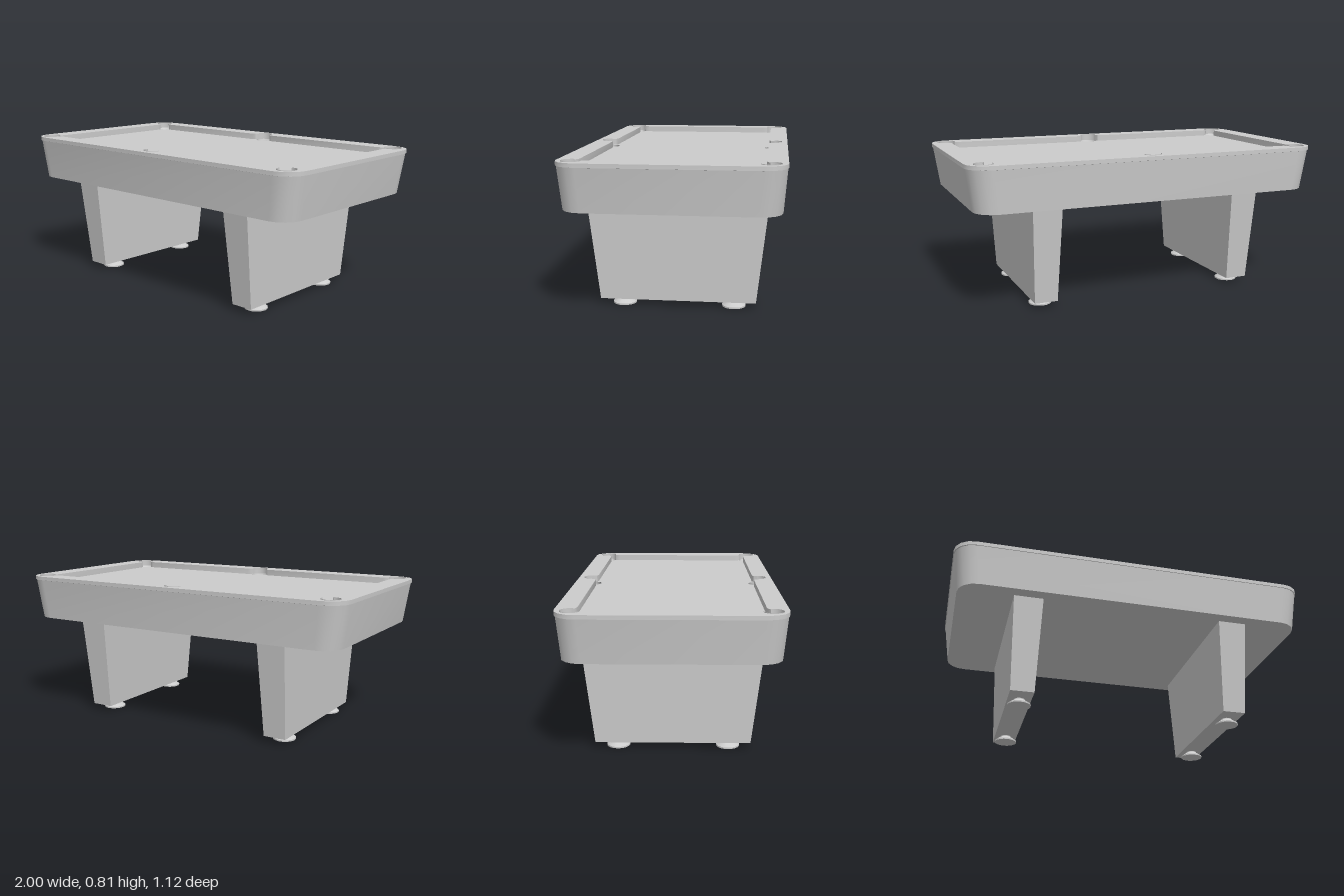
import * as THREE from 'three';
import { toCreasedNormals } from 'three/addons/utils/BufferGeometryUtils.js';

const TOP = 0.805, BED = 0.77, BASE = 0.56;
const R = 0.05, POCKET_X = 0.91, POCKET_Z = 0.48;
const grey = new THREE.MeshStandardMaterial({ color: 0xcccccc });
const greyDouble = new THREE.MeshStandardMaterial({ color: 0xcccccc, side: THREE.DoubleSide });

function add(parent, name, geometry, material = grey) {
  const mesh = new THREE.Mesh(geometry, material);
  mesh.name = name;
  parent.add(mesh);
  return mesh;
}

// Points along a circle arc, angles in degrees
function arc(cx, cy, r, from, to, n) {
  return Array.from({ length: n + 1 }, (_, i) => {
    const a = THREE.MathUtils.degToRad(from + (to - from) * i / n);
    return new THREE.Vector2(cx + r * Math.cos(a), cy + r * Math.sin(a));
  });
}

// Counter-clockwise rounded rectangle
function roundedRect(hx, hy, r) {
  return [[1, 1, 0], [-1, 1, 90], [-1, -1, 180], [1, -1, 270]].flatMap(([sx, sy, a]) =>
    arc(sx * (hx - r), sy * (hy - r), r, a, a + 90, 4));
}

// Walls between stacked outlines; each section is { ring, y }
function loft(sections) {
  const n = sections[0].ring.length, pos = [], index = [];
  for (const { ring, y } of sections) for (const p of ring) pos.push(p.x, y, -p.y);
  for (let s = 0; s < sections.length - 1; s++) {
    for (let i = 0; i < n; i++) {
      const a = s * n + i, b = s * n + (i + 1) % n;
      index.push(a, b, b + n, a, b + n, a + n);
    }
  }
  const g = new THREE.BufferGeometry();
  g.setAttribute('position', new THREE.Float32BufferAttribute(pos, 3));
  g.setIndex(index);
  return toCreasedNormals(g, 0.7);
}

// Horizontal face at height y
function plate(ring, y, hole, down = false) {
  const shape = new THREE.Shape(ring);
  if (hole) shape.holes.push(new THREE.Path(hole));
  return new THREE.ShapeGeometry(shape).rotateX(down ? Math.PI / 2 : -Math.PI / 2).translate(0, y, 0);
}

// Clockwise outline of the playing area: round the pockets' far side (rail)
// or their near side (bed), mirrored from one quarter
function playOutline(nearSide) {
  const quarter = [
    ...arc(0, POCKET_Z, R, nearSide ? -82 : 82, 5, 7),
    new THREE.Vector2(0.057, 0.463), new THREE.Vector2(0.075, 0.455),
    new THREE.Vector2(0.83, 0.455), new THREE.Vector2(0.848, 0.461),
    ...arc(POCKET_X, POCKET_Z, R, 190, nearSide ? 260 : -100, nearSide ? 8 : 20),
    new THREE.Vector2(0.893, 0.418), new THREE.Vector2(0.89, 0.4),
  ];
  const flip = (sx, sy) => quarter.map(p => new THREE.Vector2(p.x * sx, p.y * sy));
  return [...quarter, ...flip(1, -1).reverse(), ...flip(-1, -1), ...flip(-1, 1).reverse()];
}

// Pocket: a raised rim on the rail side and a cup slanting in under the bed
function makePocket(sx, sz) {
  const pocket = new THREE.Group();
  pocket.name = 'pocket';
  pocket.position.set(sx * POCKET_X, 0, sz * POCKET_Z);
  const facing = Math.atan2(sx, sz);
  const span = THREE.MathUtils.degToRad(sx ? 290 : 170);
  const h = 0.808 - BED;
  add(pocket, 'pocketRim', new THREE.CylinderGeometry(0.0495, 0.0495, h, 24, 1, true, facing - span / 2, span)
    .translate(0, BED + h / 2, 0), greyDouble);

  const depth = 0.1, shift = sx ? 0.1 : 0.055;
  const cup = new THREE.CylinderGeometry(R, R, depth, 24, 1, true).translate(0, BED - depth / 2, 0);
  const p = cup.attributes.position;
  for (let i = 0; i < p.count; i++) {
    const t = shift * (BED - p.getY(i)) / depth;
    p.setX(i, p.getX(i) - t * Math.sin(facing));
    p.setZ(i, p.getZ(i) - t * Math.cos(facing));
  }
  cup.computeVertexNormals();
  add(pocket, 'pocketCup', cup, greyDouble);
  add(pocket, 'pocketFloor', new THREE.CircleGeometry(R, 24).rotateX(-Math.PI / 2)
    .translate(-shift * Math.sin(facing), BED - depth, -shift * Math.cos(facing)));
  return pocket;
}

// Tapered slab leg standing on two levelling feet
function makeLeg(side) {
  const leg = new THREE.Group();
  leg.name = 'leg';
  leg.position.x = side * 0.583;
  const y0 = 0.035;
  const slab = new THREE.BoxGeometry(0.16, BASE - y0, 0.94).translate(0, (BASE + y0) / 2, 0);
  const p = slab.attributes.position;
  for (let i = 0; i < p.count; i++) {
    if (p.getY(i) < 0.3) p.setXYZ(i, p.getX(i) * 0.79, p.getY(i), p.getZ(i) * 0.872);
  }
  slab.computeVertexNormals();
  add(leg, 'legSlab', slab);

  const profile = [[0, 0], [0.0625, 0], [0.0625, 0.008], [0.03, 0.03], [0.03, 0.036]]
    .map(([x, y]) => new THREE.Vector2(x, y));
  for (const z of [-0.292, 0.292]) {
    add(leg, 'foot', toCreasedNormals(new THREE.LatheGeometry(profile, 20), 0.5)).position.z = z;
  }
  return leg;
}

export function createModel() {
  const table = new THREE.Group();
  table.name = 'poolTable';

  // Flared apron with a closed underside
  const bottom = roundedRect(0.963, 0.539, 0.11);
  const seam = roundedRect(0.995, 0.557, 0.115);
  add(table, 'apron', loft([{ ring: bottom, y: BASE }, { ring: seam, y: 0.783 }]));
  add(table, 'underside', plate(bottom, BASE, null, true));

  // Rail: outer band, top face and cushion walls
  const outer = roundedRect(1, 0.56, 0.115);
  const opening = playOutline(false);
  add(table, 'railBand', loft([{ ring: seam, y: 0.783 }, { ring: outer, y: 0.784 }, { ring: outer, y: TOP }]));
  add(table, 'railTop', plate(outer, TOP, opening));
  add(table, 'cushionWall', loft([{ ring: opening, y: BED }, { ring: opening, y: TOP }]), greyDouble);

  // Playing surface
  add(table, 'bed', plate(playOutline(true), BED));

  for (const sz of [-1, 1]) for (const sx of [-1, 0, 1]) table.add(makePocket(sx, sz));
  for (const side of [-1, 1]) table.add(makeLeg(side));
  return table;
}
